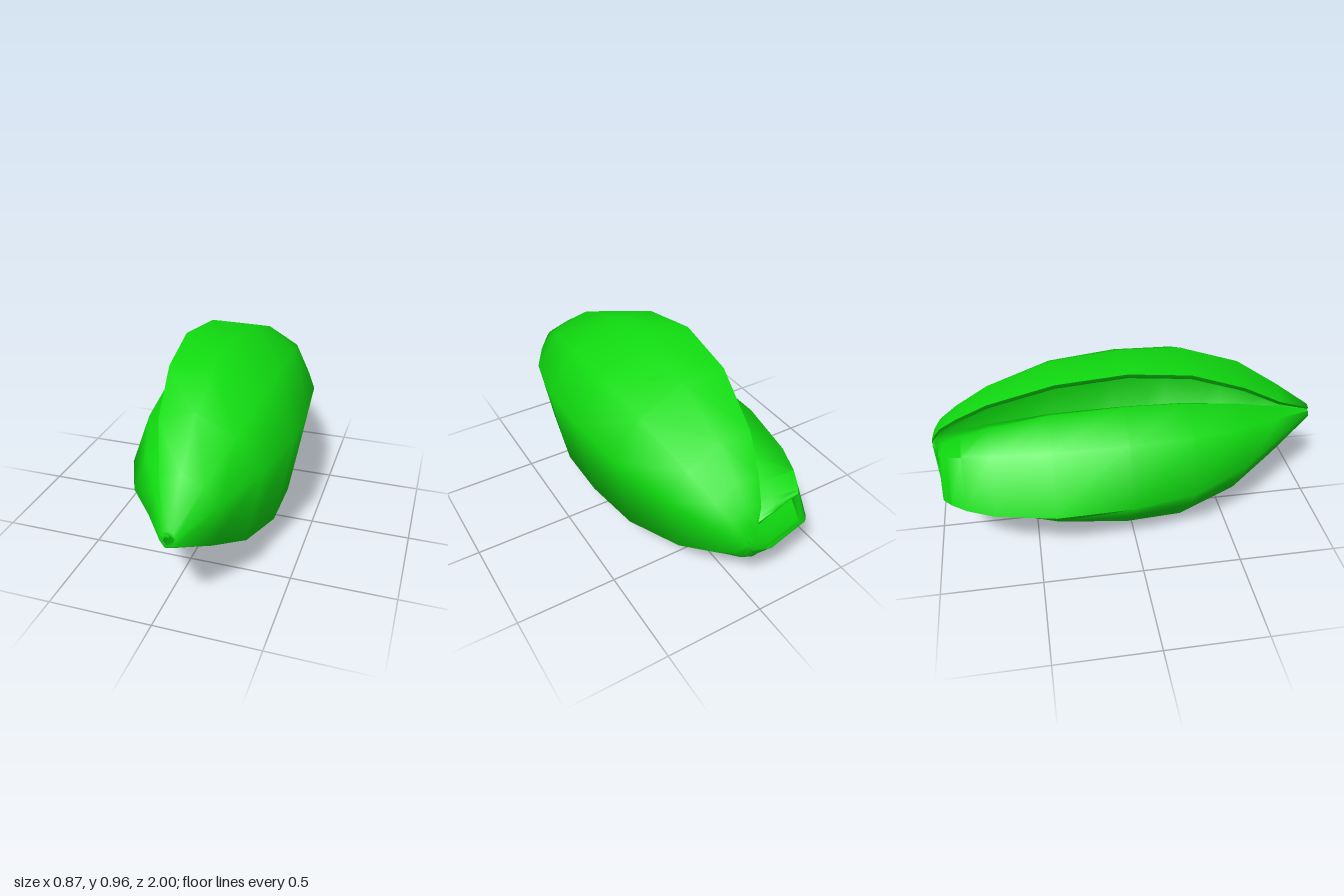
import * as THREE from 'three';
import { toCreasedNormals } from 'three/addons/utils/BufferGeometryUtils.js';

const AXIS = { x: 0.1, y: 0.47 };
const THICK = 0.035;

// Spiral cross-section about the axis:
// [angle in degrees, radius, blend to the wide inner lobe, twist at the front, twist at the back]
const SPIRAL = [
  [121, 0.575, 0, 14, 0], [96, 0.49, 0.08, 0, 0], [62, 0.41, 0, 0, 0], [24, 0.37, -0.28, 0, 0],
  [-51, 0.405, -0.25, 0, 0], [-90, 0.41, 0, 0, 0], [-109, 0.49, 0.05, 0, 0],
  [-115, 0.52, 0.1, 0, 0], [-141, 0.485, 0.58, 0, 0], [-167, 0.55, 1, 0, 0],
  [-203, 0.463, 1, 0, 0], [-232, 0.32, 0.85, 0, 22], [-255, 0.16, 0.75, 0, 22],
];

// Stations along the length: [z of flap, scale of flap, z of lobe, scale of lobe]
const STATIONS = [
  [1, 0.09, 1, 0.08], [0.8, 0.42, 0.8, 0.33], [0.57, 0.76, 0.57, 0.65],
  [0.27, 0.98, 0.28, 0.9], [-0.03, 1, -0.04, 0.99], [-0.37, 0.92, -0.41, 1],
  [-0.69, 0.67, -0.7, 0.91], [-0.85, 0.45, -0.83, 0.82], [-0.94, 0.29, -0.9, 0.74],
  [-0.98, 0.15, -0.925, 0.7], [-1, 0.02, -0.94, 0.67],
];

// Point on the outer sheet, or on the inner sheet when offset inwards
function shellPoint(i, j, inside) {
  const [zFlap, sFlap, zLobe, sLobe] = STATIONS[i];
  const [degrees, radius, blend, twistFront, twistBack] = SPIRAL[j];
  const front = zFlap > 0;
  // the free edge of the flap narrows like the lobe towards the front tip
  const w = j === 0 && front ? 1 : blend;
  const twist = (front ? twistFront : twistBack) * (1 - sFlap);
  const a = THREE.MathUtils.degToRad(degrees + twist);
  let r = radius * Math.max(0.02, THREE.MathUtils.lerp(sFlap, sLobe, w));
  if (inside) r -= Math.min(THICK, r * 0.35);
  const z = Math.max(-1, THREE.MathUtils.lerp(zFlap, zLobe, w));
  return [AXIS.x + r * Math.cos(a), AXIS.y + r * Math.sin(a), z];
}

function shellGeometry() {
  const rows = STATIONS.length, cols = SPIRAL.length;
  const positions = [], index = [];
  for (const inside of [false, true]) {
    for (let i = 0; i < rows; i++) {
      for (let j = 0; j < cols; j++) positions.push(...shellPoint(i, j, inside));
    }
  }
  const out = (i, j) => i * cols + j;
  const offset = rows * cols;
  const quad = (a, b, c, d) => index.push(a, b, d, b, c, d);
  const wall = (p, q) => quad(q, p, p + offset, q + offset);

  // outer and inner sheets
  for (let i = 0; i < rows - 1; i++) {
    for (let j = 0; j < cols - 1; j++) {
      const a = out(i, j), b = out(i, j + 1), c = out(i + 1, j + 1), d = out(i + 1, j);
      quad(a, b, c, d);
      quad(d + offset, c + offset, b + offset, a + offset);
    }
  }
  // rims at the front and back
  for (let j = 0; j < cols - 1; j++) {
    wall(out(0, j), out(0, j + 1));
    wall(out(rows - 1, j + 1), out(rows - 1, j));
  }
  // lips along the flap and the coiled inner edge
  for (let i = 0; i < rows - 1; i++) {
    wall(out(i, cols - 1), out(i + 1, cols - 1));
    wall(out(i + 1, 0), out(i, 0));
  }

  const geometry = new THREE.BufferGeometry();
  geometry.setAttribute('position', new THREE.Float32BufferAttribute(positions, 3));
  geometry.setIndex(index);
  return toCreasedNormals(geometry, 1.1);
}

export function createModel() {
  const group = new THREE.Group();
  group.name = 'seaShell';
  const green = new THREE.MeshStandardMaterial({ color: 0x10dc10, side: THREE.DoubleSide });
  green.name = 'bright green';

  const shell = new THREE.Mesh(shellGeometry(), green);
  shell.name = 'coiledShell';
  group.add(shell);

  // inner core behind the small front opening
  const core = new THREE.Mesh(new THREE.CylinderGeometry(0.03, 0.07, 0.45, 7), green);
  core.name = 'innerCore';
  core.rotation.x = Math.PI / 2;
  core.position.set(AXIS.x, AXIS.y, 0.72);
  group.add(core);
  return group;
}
